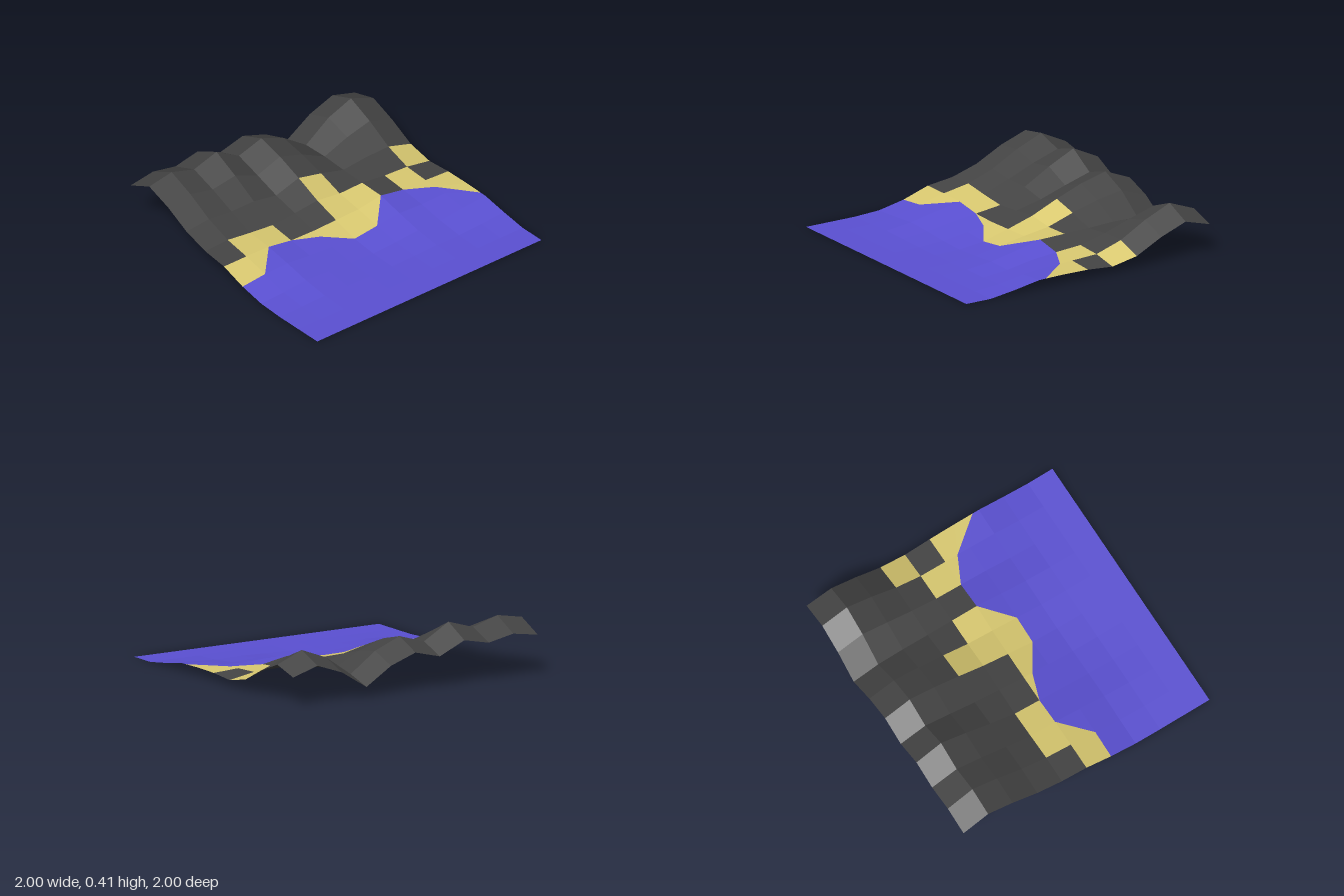
import * as THREE from 'three';

const STEP = 0.2, CELLS = 10;

// Ground heights: one row for each step from back (z = -1) to front (z = 1), left edge to right edge in x
const HEIGHTS = [
  [0.28, 0.31, 0.27, 0.31, 0.22, 0.27, 0.20, 0.075, 0.20, 0.27, 0.21],
  [0.37, 0.405, 0.345, 0.405, 0.29, 0.35, 0.27, 0.13, 0.27, 0.345, 0.265],
  [0.30, 0.325, 0.28, 0.31, 0.23, 0.30, 0.235, 0.135, 0.21, 0.26, 0.19],
  [0.20, 0.22, 0.20, 0.20, 0.165, 0.225, 0.18, 0.125, 0.145, 0.15, 0.09],
  [0.14, 0.15, 0.125, 0.105, 0.12, 0.14, 0.115, 0.12, 0.095, 0.085, 0.05],
  [0.115, 0.115, 0.11, 0.08, 0.075, 0.08, 0.085, 0.115, 0.08, 0.075, 0.065],
  [0.05, 0.07, 0.075, 0.055, 0.04, 0.027, 0.05, 0.07, 0.06, 0.065, 0.067],
  [0.01, 0.02, 0.035, 0.025, 0.012, 0.005, 0.015, 0.03, 0.025, 0.048, 0.063],
  [0, 0.004, 0.01, 0.006, 0.002, 0, 0.003, 0.008, 0.006, 0.015, 0.028],
  Array(11).fill(0),
  Array(11).fill(0),
];

// z of the waterline at each column line
const SHORE = [0.2, 0.2, 0, 0, 0.07, 0.2, 0.2, 0, 0, 0.1, 0.35];

// Land cells in the two mixed rows: s = sand, r = rock
const MIXED = { 3: 'rrrrrsrrrs', 4: 'rssrrssrsr' };

// Point on column line i at depth z, with the height taken along that line
function groundPoint(i, z) {
  const t = (z + 1) / STEP;
  const j = Math.min(CELLS - 1, Math.floor(t + 1e-6));
  const y = THREE.MathUtils.lerp(HEIGHTS[j][i], HEIGHTS[j + 1][i], t - j);
  return new THREE.Vector3(-1 + i * STEP, y, z);
}

// Adds one flat-lit facet, limited to one side of the waterline
function addFacet(patch, i, j, limit) {
  const z0 = -1 + j * STEP, z1 = z0 + STEP;
  const a = groundPoint(i, limit(z0, SHORE[i]));
  const b = groundPoint(i, limit(z1, SHORE[i]));
  const c = groundPoint(i + 1, limit(z1, SHORE[i + 1]));
  const d = groundPoint(i + 1, limit(z0, SHORE[i + 1]));
  if (b.z - a.z + c.z - d.z < 1e-5) return;
  const normal = c.clone().sub(a).cross(d.clone().sub(b)).normalize();
  for (const tri of [[a, b, c], [a, c, d]]) {
    const area = tri[1].clone().sub(tri[0]).cross(tri[2].clone().sub(tri[0])).length();
    if (area < 1e-6) continue;
    for (const p of tri) {
      patch.positions.push(p.x, p.y, p.z);
      patch.normals.push(normal.x, normal.y, normal.z);
    }
  }
}

function landKind(i, j) {
  if (j < 3) return 'rock';
  if (j > 4) return 'sand';
  return MIXED[j][i] === 's' ? 'sand' : 'rock';
}

export function createModel() {
  const group = new THREE.Group();
  group.name = 'coastalTerrain';
  const colors = { rock: 0x444444, sand: 0xd9c970, water: 0x5a50d2 };
  const patches = {};
  for (const kind in colors) patches[kind] = { positions: [], normals: [] };

  // Land stops at the waterline, water starts there
  for (let j = 0; j < CELLS; j++) {
    for (let i = 0; i < CELLS; i++) {
      addFacet(patches[landKind(i, j)], i, j, Math.min);
      addFacet(patches.water, i, j, Math.max);
    }
  }

  // One open surface for each kind of ground
  for (const kind in colors) {
    const geometry = new THREE.BufferGeometry();
    geometry.setAttribute('position', new THREE.Float32BufferAttribute(patches[kind].positions, 3));
    geometry.setAttribute('normal', new THREE.Float32BufferAttribute(patches[kind].normals, 3));
    const material = new THREE.MeshStandardMaterial({ color: colors[kind], side: THREE.DoubleSide });
    material.name = kind;
    const mesh = new THREE.Mesh(geometry, material);
    mesh.name = { rock: 'rockyHills', sand: 'sandyBeach', water: 'waterSurface' }[kind];
    group.add(mesh);
  }
  return group;
}
